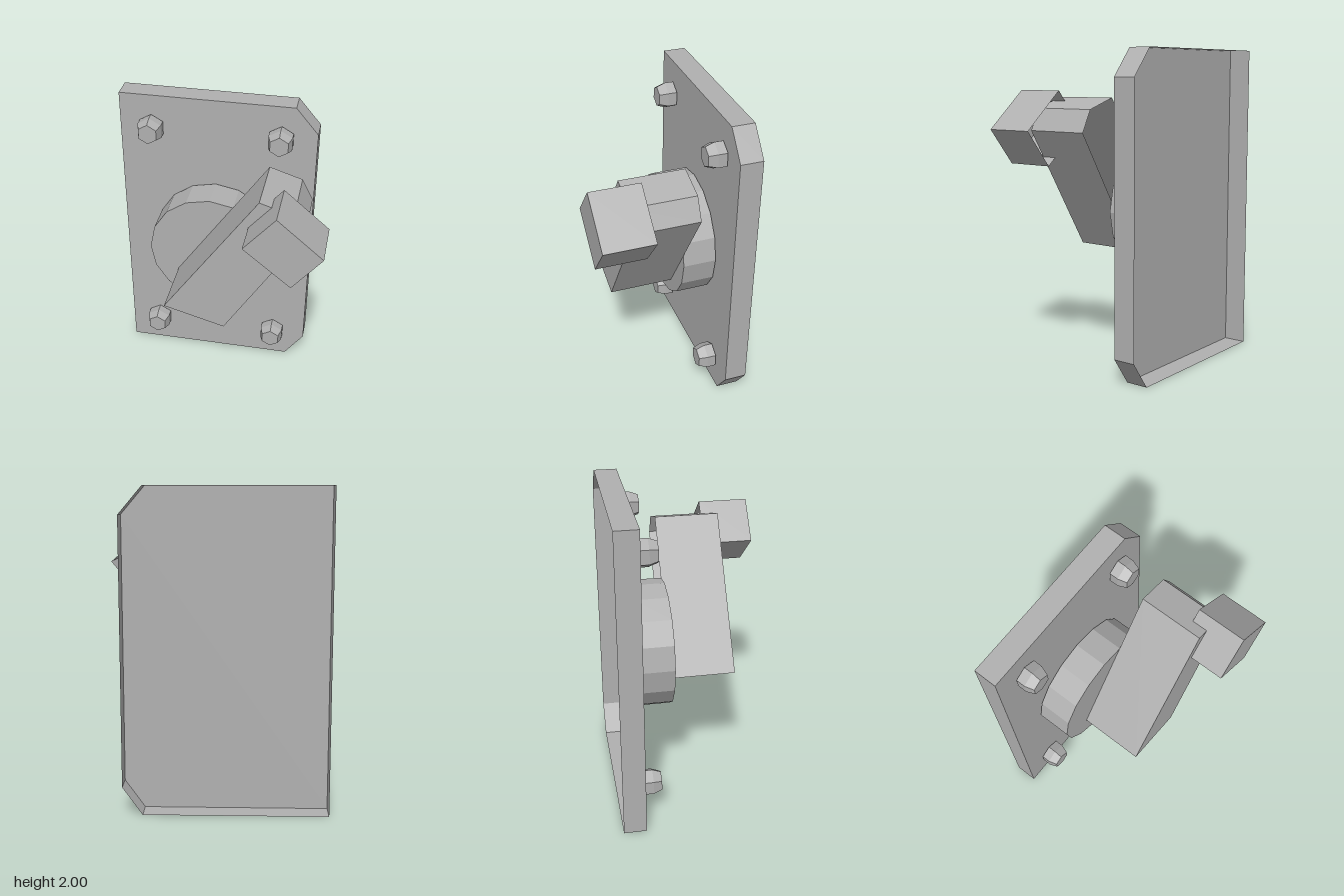
import * as THREE from 'three';

// Convex outlines (counter-clockwise seen from the front) stacked from back to front,
// joined by flat walls and closed by a front face; the back stays open.
function shell(layers) {
  const pos = [];
  const put = (p, z) => pos.push(p[0], p[1], z);
  for (let l = 0; l < layers.length - 1; l++) {
    const a = layers[l], b = layers[l + 1], n = a.points.length;
    for (let i = 0; i < n; i++) {
      const j = (i + 1) % n;
      put(a.points[i], a.z); put(a.points[j], a.z); put(b.points[j], b.z);
      put(a.points[i], a.z); put(b.points[j], b.z); put(b.points[i], b.z);
    }
  }
  const { points, z } = layers[layers.length - 1];
  for (let i = 1; i < points.length - 1; i++) {
    put(points[0], z); put(points[i], z); put(points[i + 1], z);
  }
  const geo = new THREE.BufferGeometry();
  geo.setAttribute('position', new THREE.Float32BufferAttribute(pos, 3));
  geo.computeVertexNormals();
  return geo;
}

const prism = (points, back, front) => shell([{ points, z: back }, { points, z: front }]);

// Regular outline with its first corner pointing up
function polygon(sides, radius, cx = 0, cy = 0) {
  return Array.from({ length: sides }, (_, i) => {
    const a = Math.PI / 2 + (i / sides) * Math.PI * 2;
    return [cx + radius * Math.cos(a), cy + radius * Math.sin(a)];
  });
}

export function createModel() {
  const model = new THREE.Group();
  model.name = 'wallLever';
  const grey = new THREE.MeshStandardMaterial({ color: 0xb0b0b0 });
  grey.name = 'grey metal';
  grey.side = THREE.DoubleSide;
  grey.flatShading = true;

  const add = (name, geo) => {
    const mesh = new THREE.Mesh(geo, grey);
    mesh.name = name;
    model.add(mesh);
    return mesh;
  };

  // Wall plate with two cut corners on one side
  add('backPlate', prism([
    [-0.71, 0], [0.435, 0], [0.56, 0.175], [0.56, 1.83], [0.415, 2], [-0.71, 2],
  ], -0.5, -0.355));

  // Round pivot
  add('pivotDisc', prism(polygon(16, 0.403, -0.085, 1.004), -0.345, -0.13));

  // Slanted lever arm
  add('leverArm', prism([
    [-0.3, 0.845], [0.09, 0.735], [0.57, 1.505], [0.5, 1.64], [0.295, 1.705],
  ], -0.13, 0.283));

  // Grip block at the end of the arm
  add('gripBlock', prism([
    [0.235, 1.525], [0.525, 1.287], [0.703, 1.51], [0.425, 1.747],
  ], 0.183, 0.5));

  // Hexagonal bolts with tapered heads
  const boltGeo = shell([
    { points: polygon(6, 0.087), z: -0.345 },
    { points: polygon(6, 0.087), z: -0.288 },
    { points: polygon(6, 0.066), z: -0.233 },
  ]);
  for (const x of [-0.503, 0.333]) {
    for (const y of [0.222, 1.785]) add('bolt', boltGeo).position.set(x, y, 0);
  }
  return model;
}
